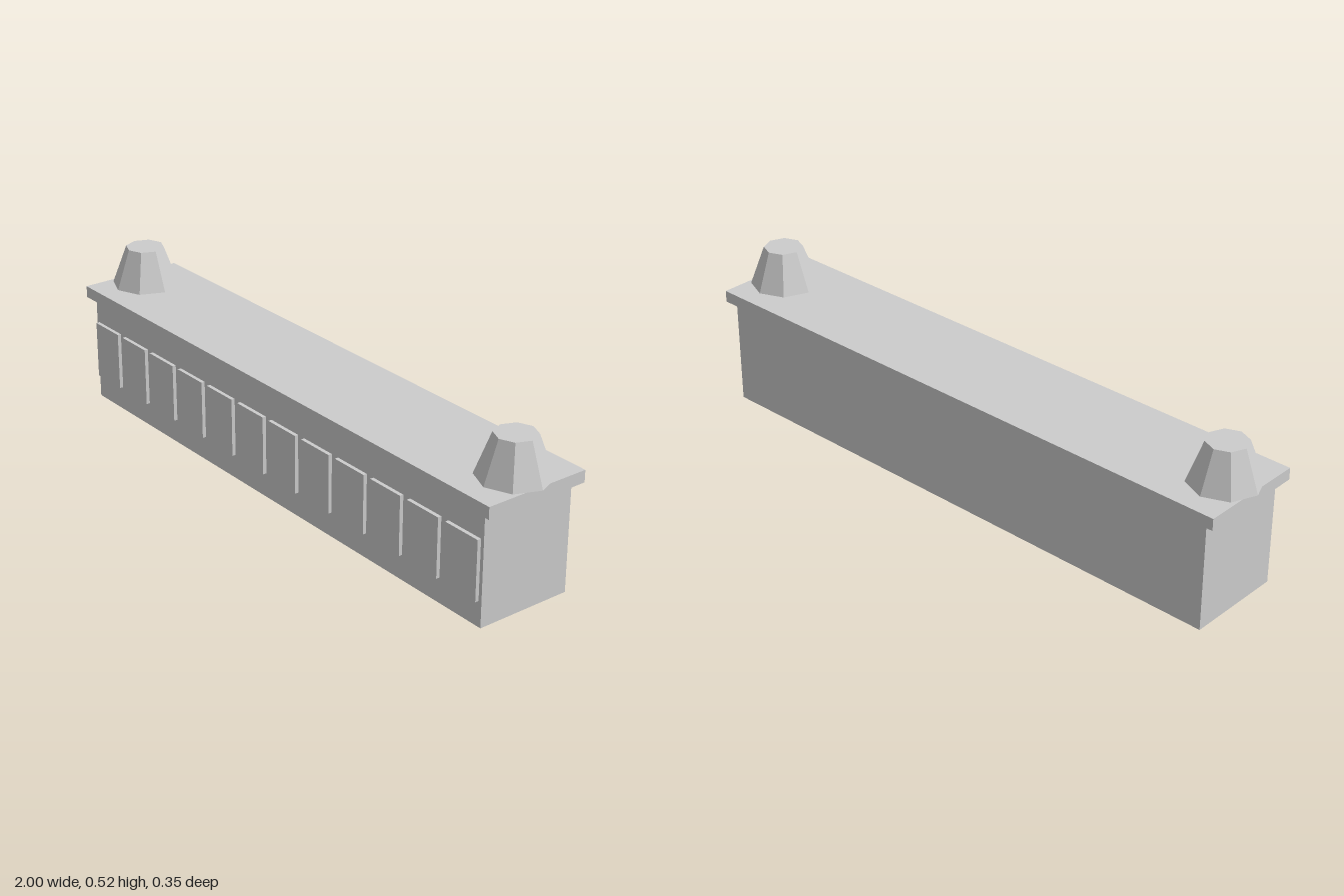
import * as THREE from 'three';

export function createModel() {
  const model = new THREE.Group();
  model.name = 'parapetWall';
  const stone = new THREE.MeshStandardMaterial({ color: 0xcccccc, flatShading: true });
  stone.name = 'pale grey stone';

  function add(name, geometry, x, y, z) {
    const mesh = new THREE.Mesh(geometry, stone);
    mesh.name = name;
    mesh.position.set(x, y, z);
    model.add(mesh);
  }

  // Long wall and overhanging cap slab
  add('wallBody', new THREE.BoxGeometry(1.9, 0.35, 0.316), 0, 0.175, 0);
  add('capSlab', new THREE.BoxGeometry(1.964, 0.038, 0.349), 0, 0.369, 0);

  // Row of raised panels along the front
  const count = 12, pitch = 0.1588;
  const panel = new THREE.BoxGeometry(0.13, 0.19, 0.02);
  for (let i = 0; i < count; i++) {
    add('frontPanel' + (i + 1), panel, (i - (count - 1) / 2) * pitch, 0.175, 0.16);
  }

  // Tapered eight-sided finial at each end
  const finial = new THREE.CylinderGeometry(0.063, 0.111, 0.128, 8);
  add('leftFinial', finial, 0.889, 0.452, 0);
  add('rightFinial', finial, -0.889, 0.452, 0);

  return model;
}
